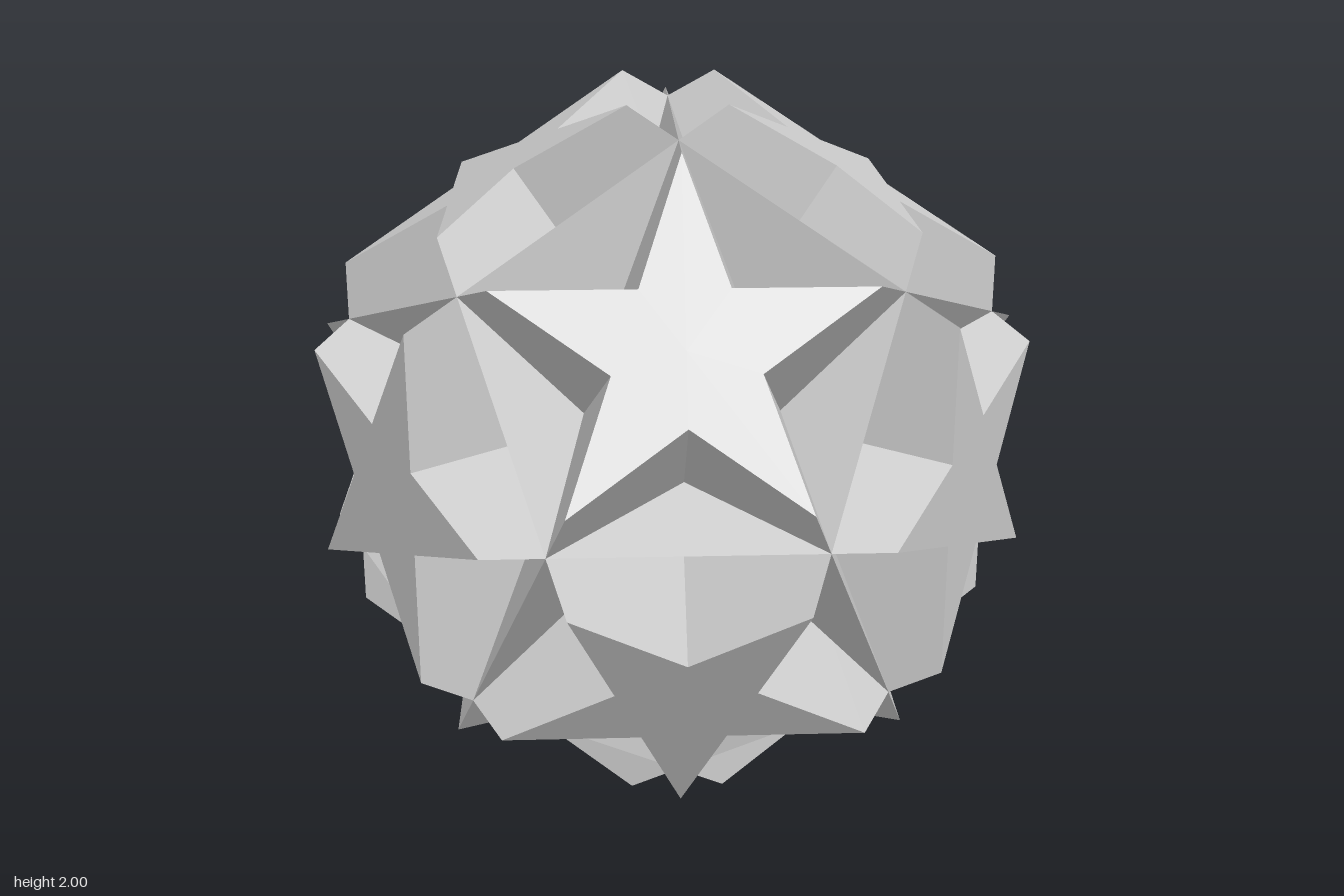
import * as THREE from 'three';

const PHI = (1 + Math.sqrt(5)) / 2;
const APEX = 1.745;  // distance of the uncut star-solid apexes from the centre
const CUT = 0.3267;  // fraction of each long edge removed at an apex

// The twelve five-fold axes
function apexes() {
  const list = [];
  for (const a of [-1, 1]) for (const b of [-PHI, PHI]) {
    list.push([a, b, 0], [0, a, b], [b, 0, a]);
  }
  return list.map(p => new THREE.Vector3(...p).setLength(APEX));
}

// Flat polygon as a fan around its centre, wound to face outwards
function fanFace(outline, name, material) {
  const centre = new THREE.Vector3();
  outline.forEach(p => centre.addScaledVector(p, 1 / outline.length));
  const normal = outline[0].clone().sub(centre).cross(outline[1].clone().sub(centre));
  const ring = normal.dot(centre) < 0 ? [...outline].reverse() : outline;
  const points = [];
  ring.forEach((p, i) => points.push(centre, p, ring[(i + 1) % ring.length]));
  const geometry = new THREE.BufferGeometry().setFromPoints(points);
  geometry.computeVertexNormals();
  const mesh = new THREE.Mesh(geometry, material);
  mesh.name = name;
  return mesh;
}

export function createModel() {
  const model = new THREE.Group();
  model.name = 'truncatedStarSolid';
  const material = new THREE.MeshStandardMaterial({
    color: 0xcccccc, flatShading: true, side: THREE.DoubleSide,
  });
  const stars = new THREE.Group();
  stars.name = 'starFaces';
  const hexagons = new THREE.Group();
  hexagons.name = 'hexagonFaces';
  model.add(stars, hexagons);

  const v = apexes();
  const joined = (a, b) => {
    const d = a.dot(b) / (APEX * APEX);
    return d < -0.3 && d > -0.6;
  };
  const cut = (a, b) => a.clone().lerp(b, CUT);

  // Twelve five-pointed stars where the apexes are cut off
  for (const a of v) {
    const tips = v.filter(b => joined(a, b)).map(b => cut(a, b));
    const centre = new THREE.Vector3();
    tips.forEach(t => centre.addScaledVector(t, 0.2));
    const u = tips[0].clone().sub(centre);
    const w = a.clone().normalize().cross(u);
    const outline = [];
    for (let i = 0; i < 10; i++) {
      const angle = i * Math.PI / 5, r = i % 2 ? 1 / (PHI * PHI) : 1;
      outline.push(centre.clone()
        .addScaledVector(u, r * Math.cos(angle))
        .addScaledVector(w, r * Math.sin(angle)));
    }
    stars.add(fanFace(outline, 'star', material));
  }

  // Twenty interlocking hexagons: large triangles with their corners cut
  for (let i = 0; i < 12; i++) for (let j = i + 1; j < 12; j++) for (let k = j + 1; k < 12; k++) {
    const [a, b, c] = [v[i], v[j], v[k]];
    if (!joined(a, b) || !joined(b, c) || !joined(a, c)) continue;
    hexagons.add(fanFace(
      [cut(a, b), cut(b, a), cut(b, c), cut(c, b), cut(c, a), cut(a, c)], 'hexagon', material));
  }

  model.position.y = 1;
  return model;
}
